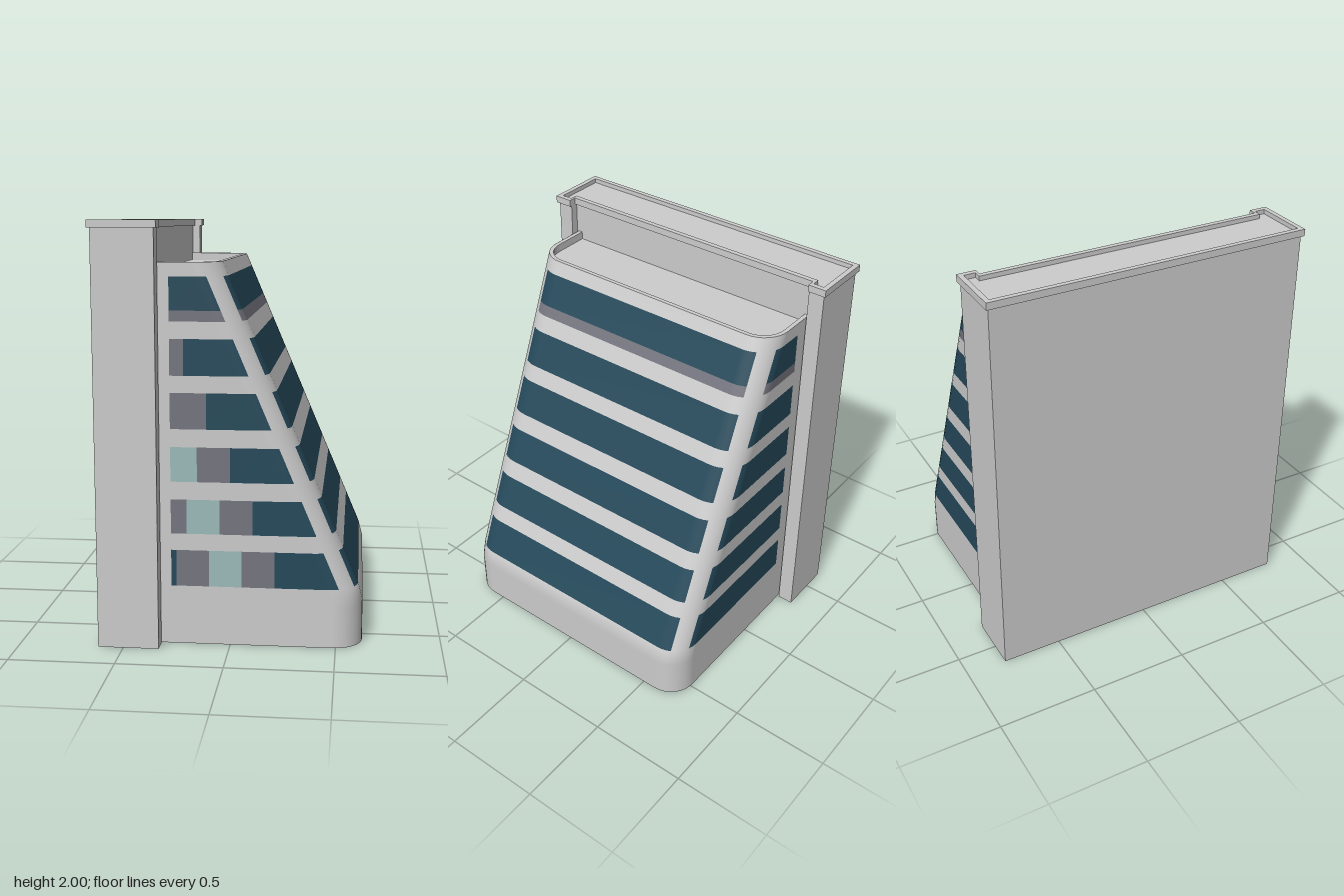
import * as THREE from 'three';

const mat = (name, color) => {
  const m = new THREE.MeshStandardMaterial({ color, side: THREE.DoubleSide });
  m.name = name;
  return m;
};

const HALF = 0.71, R = 0.14, BACK = -0.37, TOP = 1.81;

// Front face position and lean at a given height
const frontX = (y) => (y <= 0.2 ? 0.625 : y < 0.28 ? 0.625 - (y - 0.2) * 0.25 : 0.605 - (y - 0.28) * 0.425);
const lean = (y) => THREE.MathUtils.clamp((y - 0.2) / 0.08, 0, 1) * 0.425;

// A station on the facade is either a fixed x on the side wall or an angle round the corner
function stationAt(st, side, y) {
  const a = THREE.MathUtils.degToRad(st.a ?? 0);
  const nx = Math.sin(a), nz = Math.cos(a) * side;
  const x = st.x ?? frontX(y) - R + R * nx;
  const z = side * (HALF - R) + R * nz;
  return { p: [x, y, z], n: new THREE.Vector3(nx, nx * lean(y), nz).normalize().toArray() };
}

// Slab plan with two front flanges, inset by d
function slabOutline(d) {
  const b = -0.62 + d, m = -0.37 - d, f = -0.33 - d, o = 0.8 - d, i = 0.72 + Math.max(d, 0);
  return [[b, -o], [f, -o], [f, -i], [m, -i], [m, i], [f, i], [f, o], [b, o]].map((p) => new THREE.Vector2(...p));
}

// Rounded plan of the tower top, inset by d
function topOutline(d) {
  const pts = [new THREE.Vector2(BACK, HALF - d)];
  const f = frontX(TOP) - R, h = HALF - R, r = R - d;
  for (const s of [1, -1]) {
    for (let i = 0; i <= 8; i++) {
      const a = ((s > 0 ? i : 8 - i) / 8) * Math.PI / 2;
      pts.push(new THREE.Vector2(f + r * Math.sin(a), s * (h + r * Math.cos(a))));
    }
  }
  pts.push(new THREE.Vector2(BACK, -(HALF - d)));
  return pts;
}

function extrudeUp(points, y, height, hole) {
  const shape = new THREE.Shape(points);
  if (hole) shape.holes.push(new THREE.Path(hole));
  const g = new THREE.ExtrudeGeometry(shape, { depth: height, bevelEnabled: false });
  return g.rotateX(-Math.PI / 2).translate(0, y, 0);
}

export function createModel() {
  const model = new THREE.Group();
  model.name = 'building';
  const mats = {
    wall: mat('pale concrete', 0xcccccc),
    dark: mat('dark teal glass', 0x25495a),
    grey: mat('grey panel', 0x75757f),
    light: mat('pale teal glass', 0x9cbaba),
  };
  const add = (name, geometry, material) => {
    const mesh = new THREE.Mesh(geometry, material);
    mesh.name = name;
    model.add(mesh);
  };

  // Rear slab, hollow and open below, with a rimmed cap
  add('rearSlab', extrudeUp(slabOutline(0), 0, 1.97, slabOutline(0.008)), mats.wall);
  add('slabCapRim', extrudeUp(slabOutline(-0.012), 1.965, 0.035, slabOutline(0.013)), mats.wall);
  add('slabCapFloor', extrudeUp(slabOutline(0), 1.968, 0.01), mats.wall);

  // Facade skin, collected by colour
  const skin = {};
  for (const key in mats) skin[key] = { p: [], n: [] };
  function span(key, a, sa, b, sb, y0, y1, flip) {
    const c = [stationAt(a, sa, y0), stationAt(b, sb, y0), stationAt(b, sb, y1), stationAt(a, sa, y1)];
    for (const i of flip ? [0, 2, 1, 0, 3, 2] : [0, 1, 2, 0, 2, 3]) {
      skin[key].p.push(...c[i].p);
      skin[key].n.push(...c[i].n);
    }
  }
  const angles = [0, 10, 21, 30, 40, 50, 60, 70, 80, 90];

  // One storey band; panels lists [start x, colour] on the left side, glass is the main colour
  function band(y0, y1, glass = 'wall', panels = []) {
    for (const side of [1, -1]) {
      const runs = [[BACK, 'wall'], ...(side > 0 && panels.length ? panels : [[-0.28, glass]])];
      runs.forEach(([x, key], i) => {
        const end = i + 1 < runs.length ? { x: runs[i + 1][0] } : { a: 0 };
        span(key, { x }, side, end, side, y0, y1, side < 0);
      });
      // Glass wraps a little way round the corner, leaving a plain post
      for (let i = 0; i + 1 < angles.length; i++) {
        const key = angles[i] >= 21 && angles[i] < 60 ? 'wall' : glass;
        span(key, { a: angles[i] }, side, { a: angles[i + 1] }, side, y0, y1, side < 0);
      }
    }
    span(glass, { a: 90 }, 1, { a: 90 }, -1, y0, y1, false);
  }

  const rows = [
    [0.285, 0.46, 'dark', [[-0.28, 'dark'], [-0.255, 'grey'], [-0.1, 'light'], [0.055, 'grey'], [0.21, 'dark']]],
    [0.54, 0.705, 'dark', [[-0.28, 'grey'], [-0.205, 'light'], [-0.05, 'grey'], [0.105, 'dark']]],
    [0.79, 0.955, 'dark', [[-0.28, 'light'], [-0.155, 'grey'], [0, 'dark']]],
    [1.04, 1.21, 'dark', [[-0.28, 'grey'], [-0.11, 'dark']]],
    [1.29, 1.46, 'dark', [[-0.28, 'grey'], [-0.215, 'dark']]],
    [1.54, 1.59, 'grey'],
    [1.59, 1.745, 'dark'],
  ];
  band(0, 0.2);
  let y = 0.2;
  for (const row of rows) {
    if (row[0] > y) band(y, row[0]);
    band(...row);
    y = row[1];
  }
  band(y, TOP);

  const names = { wall: 'towerWalls', dark: 'windowBands', grey: 'greyPanels', light: 'paleWindows' };
  for (const key in skin) {
    const g = new THREE.BufferGeometry();
    g.setAttribute('position', new THREE.Float32BufferAttribute(skin[key].p, 3));
    g.setAttribute('normal', new THREE.Float32BufferAttribute(skin[key].n, 3));
    add(names[key], g, mats[key]);
  }

  // Parapet and recessed roof of the tower
  add('parapet', extrudeUp([...topOutline(0.001), ...topOutline(0.022).reverse()], TOP - 0.05, 0.05), mats.wall);
  add('towerRoof', extrudeUp(topOutline(0.01), TOP - 0.05, 0.01), mats.wall);
  return model;
}
